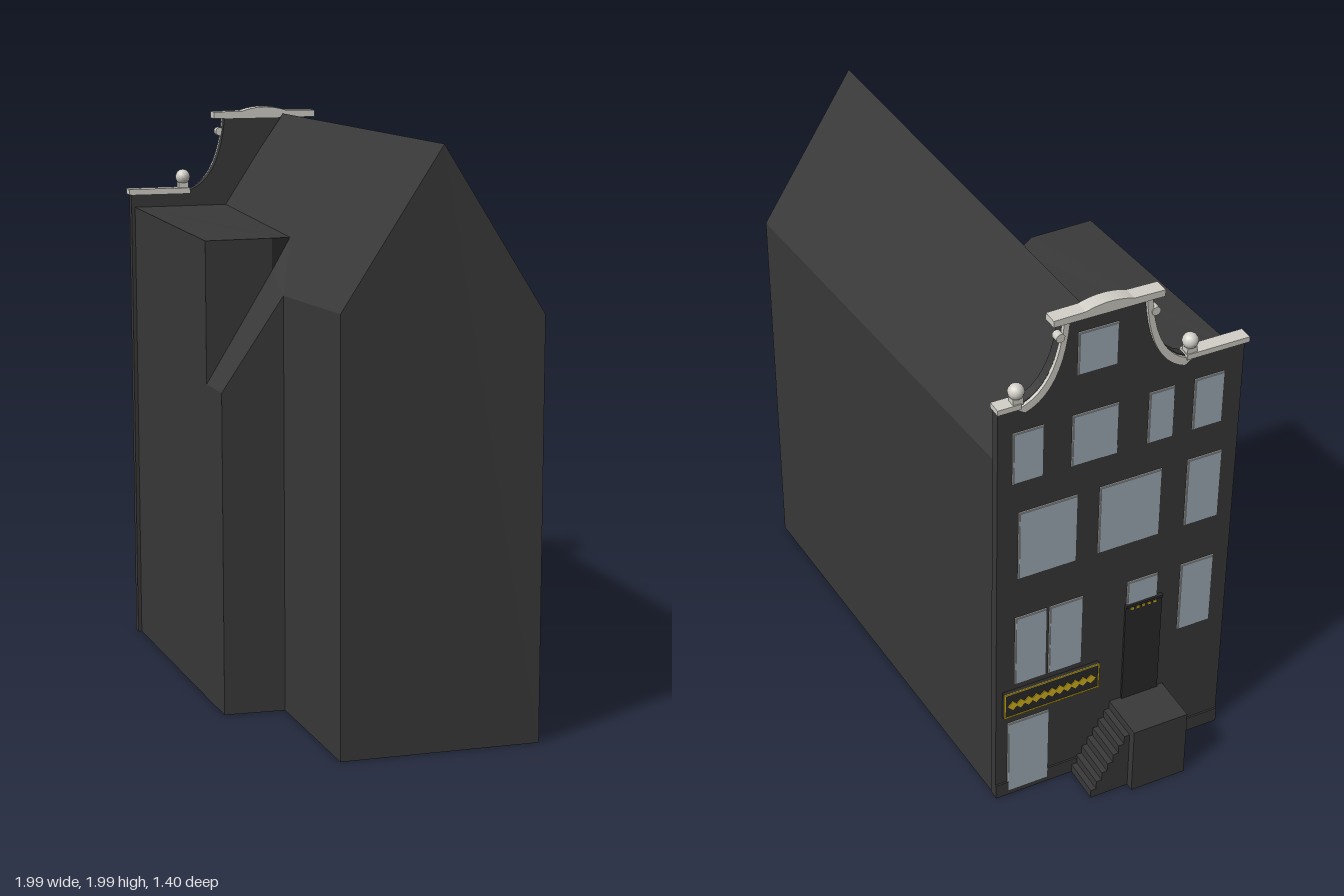
import * as THREE from 'three';

const mat = (name, color, extra = {}) => Object.assign(new THREE.MeshStandardMaterial({ color, ...extra }), { name });

export function createModel() {
  const wall = mat('dark wall', 0x393939, { side: THREE.DoubleSide });
  const trim = mat('pale stone', 0xd2d0c8);
  const glass = mat('window glass', 0xa3b0ba);
  const doorMat = mat('dark door', 0x2a2a2a);
  const gold = mat('gold', 0xd4b41c);
  const model = new THREE.Group();
  model.name = 'townhouse';

  // Corners of the house: ground points end in 0
  const P = {
    A: [-0.5, 1.47, -0.68], B: [0.995, 1.43, 0.11], C: [0.635, 1.46, 0.69], D: [0.14, 1.44, 0.42],
    E: [0.02, 1.12, 0.595], G: [-0.13, 1.12, 0.515], T: [-0.13, 1.61, 0.515], H: [-0.015, 1.61, 0.31],
    J: [-0.015, 1.5, 0.31], K: [-0.015, 1.605, 0.22], L: [-0.77, 1.63, -0.23], F: [-0.945, 1.63, 0.07],
    R: [-0.625, 1.965, -0.4], S: [0.81, 1.98, 0.4],
  };
  for (const k of 'ABCDEFG') P[k + '0'] = [P[k][0], 0, P[k][2]];

  // Flat faces given as corner lists, fanned into triangles
  function faces(name, list) {
    const pos = [];
    for (const f of list) {
      const c = f.split(' ').map((k) => P[k]);
      for (let i = 1; i < c.length - 1; i++) pos.push(...c[0], ...c[i], ...c[i + 1]);
    }
    const g = new THREE.BufferGeometry();
    g.setAttribute('position', new THREE.Float32BufferAttribute(pos, 3));
    g.computeVertexNormals();
    const m = new THREE.Mesh(g, wall);
    m.name = name;
    model.add(m);
  }
  faces('houseWalls', ['A0 A B B0', 'B0 B S C C0', 'C0 C D D0', 'D0 D E E0', 'E0 E G G0', 'G0 T F F0']);
  faces('raisedBlockSide', ['J H T G', 'K H J']);
  faces('flatRoof', ['F T H K L']);
  faces('pitchedRoof', ['R S B A', 'S R L', 'S L K', 'S K D', 'S D C', 'K J D', 'J G E', 'J E D']);
  faces('floor', ['A0 B0 C0 D0', 'D0 E0 F0 A0']);

  // Street facade: local x runs along the wall, z points outward
  const facade = new THREE.Group();
  facade.name = 'facade';
  facade.position.set(-0.51, 0, -0.69);
  facade.rotation.y = Math.atan2(-0.858, -0.514);
  model.add(facade);
  const W = 0.888;

  function add(name, geo, material) {
    const m = new THREE.Mesh(geo, material);
    m.name = name;
    facade.add(m);
    return m;
  }
  function box(name, x0, x1, y0, y1, z0, z1, material) {
    const m = add(name, new THREE.BoxGeometry(x1 - x0, y1 - y0, z1 - z0), material);
    m.position.set((x0 + x1) / 2, (y0 + y1) / 2, (z0 + z1) / 2);
    return m;
  }
  function extrude(name, shape, z0, z1, material) {
    const g = new THREE.ExtrudeGeometry(shape, { depth: z1 - z0, bevelEnabled: false, curveSegments: 10 });
    add(name, g.translate(0, 0, z0), material);
  }

  // Wall slab with neck gable
  const gable = new THREE.Shape();
  gable.moveTo(0, 0);
  gable.lineTo(W, 0);
  gable.lineTo(W, 1.68);
  gable.lineTo(0.69, 1.68);
  gable.quadraticCurveTo(0.55, 1.71, 0.53, 1.95);
  gable.lineTo(0.22, 1.95);
  gable.quadraticCurveTo(0.2, 1.71, 0.06, 1.68);
  gable.lineTo(0, 1.68);
  extrude('gableWall', gable, -0.035, 0, wall);
  box('plinth', 0, W, 0, 0.06, 0, 0.006, wall);

  // Curved stone edging, knobs and finials on both sides of the neck
  for (const side of [-1, 1]) {
    const x = (d) => 0.375 + side * d;
    const band = new THREE.Shape();
    band.moveTo(x(0.315), 1.675);
    band.quadraticCurveTo(x(0.175), 1.71, x(0.155), 1.95);
    band.lineTo(x(0.135), 1.95);
    band.quadraticCurveTo(x(0.155), 1.7, x(0.285), 1.655);
    extrude('gableScroll', band, -0.02, 0.012, trim);
    const finial = add('finial', new THREE.SphereGeometry(0.028, 12, 8), trim);
    finial.position.set(x(0.31), 1.735, -0.005);
    box('finialBase', x(0.31) - 0.018, x(0.31) + 0.018, 1.69, 1.715, -0.02, 0.012, trim);
    const knob = add('scrollKnob', new THREE.CylinderGeometry(0.016, 0.016, 0.03, 10), trim);
    knob.rotation.x = Math.PI / 2;
    knob.position.set(x(0.168), 1.9, 0);
  }

  // Cornices
  box('shoulderCornice', -0.008, 0.075, 1.676, 1.696, -0.035, 0.016, trim);
  box('shoulderCornice', 0.665, W + 0.008, 1.676, 1.696, -0.035, 0.016, trim);
  const cap = new THREE.Shape();
  cap.moveTo(0.18, 1.95);
  cap.lineTo(0.57, 1.95);
  cap.lineTo(0.57, 1.974);
  cap.lineTo(0.46, 1.976);
  cap.quadraticCurveTo(0.375, 2.004, 0.29, 1.976);
  cap.lineTo(0.18, 1.974);
  extrude('topCornice', cap, -0.035, 0.018, trim);

  // Windows: x0, x1, y0, y1
  const windows = [
    [0.28, 0.416, 1.735, 1.89],
    [0.056, 0.16, 1.38, 1.575], [0.267, 0.428, 1.38, 1.575], [0.545, 0.632, 1.38, 1.575], [0.712, 0.816, 1.38, 1.575],
    [0.08, 0.288, 0.98, 1.25], [0.376, 0.6, 0.98, 1.25], [0.704, 0.827, 0.98, 1.25],
    [0.072, 0.184, 0.515, 0.805], [0.2, 0.32, 0.515, 0.805], [0.497, 0.608, 0.705, 0.8], [0.704, 0.824, 0.515, 0.8],
    [0.048, 0.2, 0.02, 0.335],
  ];
  for (const [x0, x1, y0, y1] of windows) {
    box('windowFrame', x0 - 0.003, x1 + 0.003, y0 - 0.004, y1 + 0.003, 0, 0.004, trim);
    box('windowPane', x0, x1, y0, y1, 0, 0.007, glass);
  }

  // Front door with a gilded lintel
  box('door', 0.488, 0.63, 0.275, 0.7, 0, 0.008, doorMat);
  box('doorLintel', 0.488, 0.63, 0.695, 0.706, 0, 0.014, doorMat);
  for (let i = 0; i < 5; i++) box('lintelOrnament', 0.507 + i * 0.022, 0.518 + i * 0.022, 0.681, 0.689, 0.008, 0.011, gold);

  // Board with gold border and a row of lozenges
  box('board', 0.024, 0.39, 0.378, 0.488, 0, 0.014, doorMat);
  for (const y of [0.378, 0.483]) box('boardBorder', 0.024, 0.39, y, y + 0.005, 0.014, 0.017, gold);
  for (const x of [0.024, 0.385]) box('boardBorder', x, x + 0.005, 0.378, 0.488, 0.014, 0.017, gold);
  for (let i = 0; i < 11; i++) {
    const m = box('boardLozenge', -0.014, 0.014, -0.014, 0.014, 0, 0.003, gold);
    m.rotation.z = Math.PI / 4;
    m.position.set(0.057 + i * 0.03, 0.43, 0.0155);
  }

  // Stoop with steps along the wall
  box('stoopLanding', 0.444, 0.655, 0, 0.275, 0, 0.178, wall);
  const n = 7;
  for (let i = 0; i < n; i++) {
    const w = 0.146 / n;
    box('stoopStep', 0.298 + i * w, 0.298 + (i + 1) * w, 0, (0.275 * (i + 1)) / (n + 1), 0, 0.148, wall);
  }
  return model;
}
